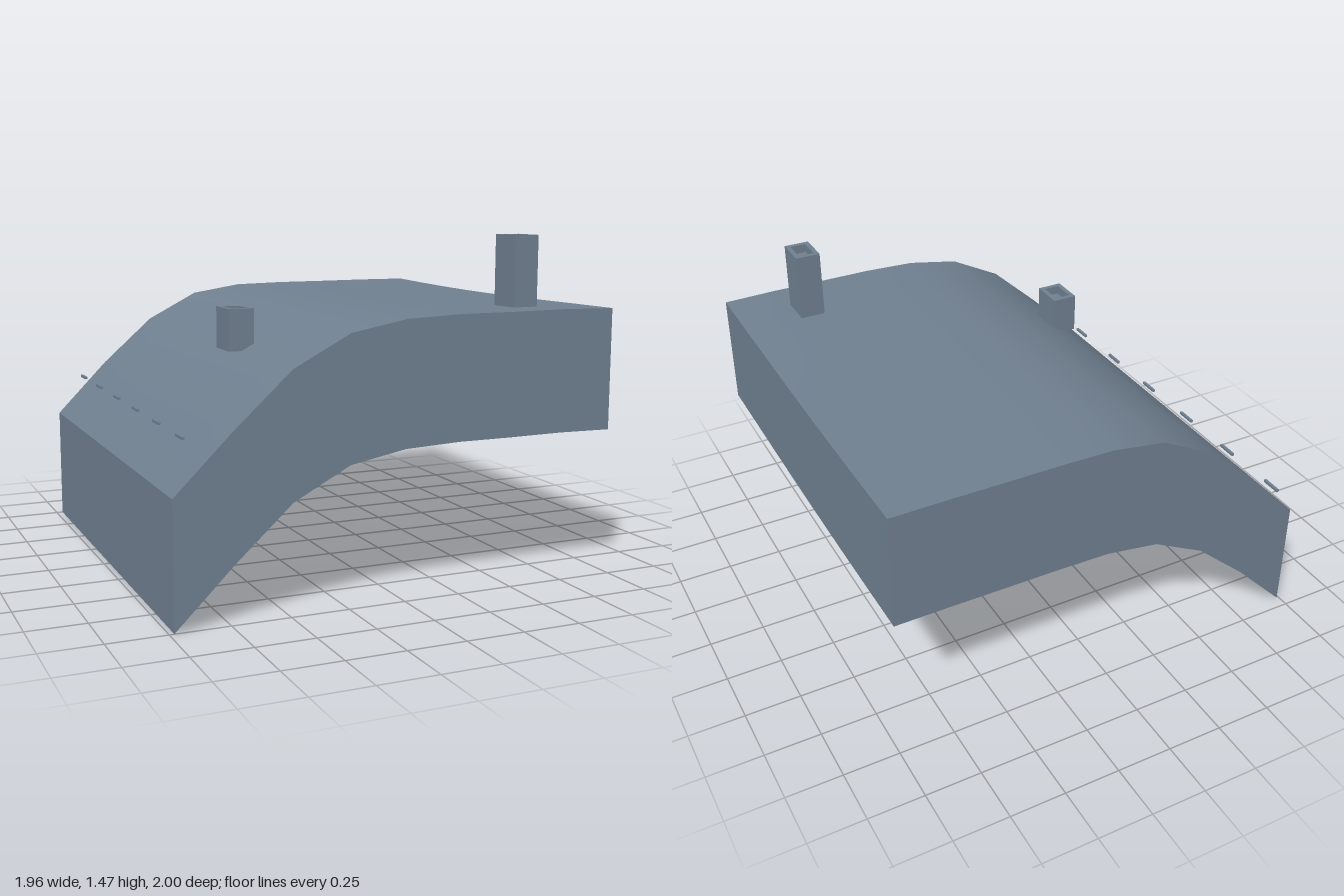
import * as THREE from 'three';

const X0 = -0.98, X1 = 0.975, Z0 = -0.955, Z1 = 1.0, SKIRT = 0.523;

// Ground height: a front and a back profile, blended along z with a slight dip
const frontY = [0.525, 0.765, 0.987, 1.115, 1.16, 1.17, 1.17, 1.172, 1.168];
const backY = [0.537, 0.787, 1.003, 1.13, 1.168, 1.173, 1.173, 1.174, 1.173];
const sample = (list, u) => {
  const t = u * (list.length - 1), i = Math.min(Math.floor(t), list.length - 2);
  return THREE.MathUtils.lerp(list[i], list[i + 1], t - i);
};
const height = (u, w) => THREE.MathUtils.lerp(sample(frontY, u), sample(backY, u), w)
  - 0.012 * u * Math.sin(Math.PI * w * w ** 0.2);
const px = u => THREE.MathUtils.lerp(X0, X1, u);
const pz = w => THREE.MathUtils.lerp(Z1, Z0, w);

// Grid surface from a rule f(u, v) -> [x, y, z]
function surface(nu, nv, f) {
  const g = new THREE.PlaneGeometry(1, 1, nu, nv), p = g.attributes.position;
  for (let i = 0; i < p.count; i++) p.setXYZ(i, ...f(p.getX(i) + 0.5, p.getY(i) + 0.5));
  g.computeVertexNormals();
  return g;
}

export function createModel() {
  const model = new THREE.Group();
  const slate = new THREE.MeshStandardMaterial({ color: 0x708090, side: THREE.DoubleSide });
  slate.name = 'slateGrey';
  const add = (name, geometry, parent = model) => {
    const mesh = new THREE.Mesh(geometry, slate);
    mesh.name = name;
    parent.add(mesh);
    return mesh;
  };

  // Curved ground sheet
  add('groundSurface', surface(8, 8, (u, w) => [px(u), height(u, w), pz(w)]));

  // Four skirt walls hanging from the sheet's edges, open underneath
  const wall = (name, edge) => add(name, surface(8, 1, (t, v) => {
    const [u, w] = edge(t);
    return [px(u), height(u, w) - SKIRT * (1 - v), pz(w)];
  }));
  wall('frontSkirt', t => [t, 0]);
  wall('backSkirt', t => [1 - t, 1]);
  wall('leftSkirt', t => [1, t]);
  wall('rightSkirt', t => [0, 1 - t]);

  // Hollow-topped rectangular towers
  const rect = (path, w, d) => path.moveTo(-w, -d).lineTo(w, -d).lineTo(w, d).lineTo(-w, d).closePath();
  function tower(name, x, z, y0, y1) {
    const group = new THREE.Group();
    group.name = name;
    group.position.set(x, y0, z);
    const w = 0.0575, d = 0.0775, rim = 0.022, h = y1 - y0, shape = new THREE.Shape();
    rect(shape, w, d);
    const hole = new THREE.Path();
    rect(hole, w - rim, d - rim);
    shape.holes.push(hole);
    const shell = new THREE.ExtrudeGeometry(shape, { depth: h, bevelEnabled: false });
    add('towerWalls', shell.rotateX(-Math.PI / 2), group);
    const core = h - 0.04;
    add('towerFloor', new THREE.BoxGeometry(2 * (w - rim), core, 2 * (d - rim)), group).position.y = core / 2;
    model.add(group);
  }
  tower('tallTower', 0.65, 0.753, 1.163, 1.475);
  tower('shortTower', -0.49, 0.348, 0.99, 1.17);

  // Row of thin bars floating just above the slope
  for (let i = 0; i < 6; i++) {
    const z = -0.955 + i * 0.3265;
    const bar = add('slopeBar', new THREE.BoxGeometry(0.012, 0.012, 0.09));
    bar.position.set(-0.847, 0.715 - i * 0.004, z);
  }
  return model;
}
